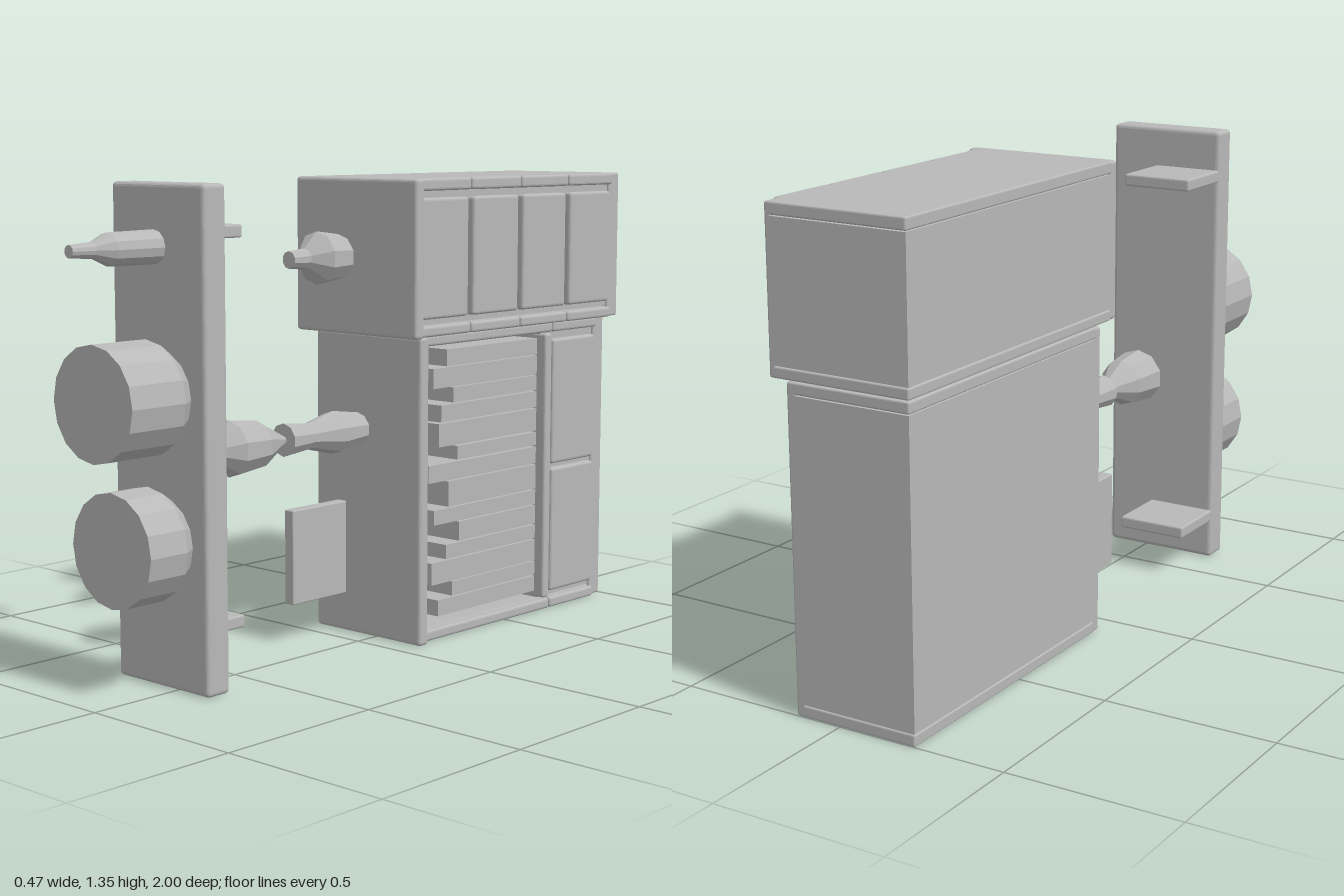
import * as THREE from 'three';
import { RoundedBoxGeometry } from 'three/addons/geometries/RoundedBoxGeometry.js';

export function createModel() {
  const model = new THREE.Group();
  const grey = new THREE.MeshStandardMaterial({ color: 0xb8b8b8 });
  grey.name = 'plain grey';
  grey.flatShading = true;

  const add = (name, geometry) => {
    const mesh = new THREE.Mesh(geometry, grey);
    mesh.name = name;
    model.add(mesh);
    return mesh;
  };
  // Box between two corners, with an optional rounded edge
  const box = (name, x0, x1, y0, y1, z0, z1, r = 0) => {
    const size = [x1 - x0, y1 - y0, z1 - z0];
    const geometry = r ? new RoundedBoxGeometry(...size, 2, r) : new THREE.BoxGeometry(...size);
    add(name, geometry).position.set((x0 + x1) / 2, (y0 + y1) / 2, (z0 + z1) / 2);
  };
  // Turned part pointing forward; profile is [radius, z] from back to front
  const turned = (name, x, y, profile, sides) => {
    const z0 = profile[0][1], z1 = profile[profile.length - 1][1];
    const points = [[0, z0], ...profile, [0, z1]].map(([r, z]) => new THREE.Vector2(r, z));
    const geometry = new THREE.LatheGeometry(points, sides).rotateX(Math.PI / 2);
    add(name, geometry).position.set(x, y, 0);
  };

  const L = -0.235, back = -1, H = 1.353;

  // Detached front panel with its two rear brackets
  box('frontPanel', L, 0.125, 0, H, 0.635, 0.715, 0.012);
  for (const y of [0.12, 1.2]) box('panelBracket', L, -0.02, y, y + 0.036, 0.438, 0.64, 0.006);

  // Round bosses and handle on the front panel
  turned('upperBoss', -0.055, 0.79, [[0.122, 0.71], [0.156, 0.76], [0.156, 0.943]], 16);
  turned('lowerBoss', -0.055, 0.398, [[0.122, 0.71], [0.156, 0.76], [0.156, 0.888]], 16);
  turned('panelHandle', -0.068, 1.185, [[0.046, 0.71], [0.044, 0.875], [0.022, 0.925], [0.017, 1]], 12);

  // Upper cabinet: front plate, core and thin boards above and below
  box('upperFrontPlate', L, 0.233, 0.905, H, -0.025, 0.012, 0.01);
  box('upperBody', L, 0.183, 0.938, 1.317, back, -0.02);
  box('upperBottomBoard', L, 0.183, 0.905, 0.936, back, -0.02, 0.005);
  box('upperTopBoard', L, 0.183, 1.319, H, back, -0.02, 0.005);

  // Four upper drawer bays, each with rails and a raised front
  const bays = [-0.028, -0.26, -0.49, -0.72, -0.945];
  for (let i = 0; i < 4; i++) {
    const z1 = bays[i] - 0.002, z0 = bays[i + 1] + 0.002;
    box('upperTopRail', 0.17, 0.208, 1.318, H, z0, z1, 0.008);
    box('upperBottomRail', 0.17, 0.208, 0.905, 0.936, z0, z1, 0.008);
    box('upperDrawerFront', 0.17, 0.206, 0.955, 1.298, z0 + 0.009, z1 - 0.009, 0.009);
  }
  box('upperRearStile', 0.17, 0.19, 0.905, H, back, -0.947, 0.006);

  // Lower cabinet: front plate, boards, left wall and solid rear bay
  box('lowerFrontPlate', L, 0.178, 0, 0.902, -0.11, -0.072, 0.01);
  box('lowerBottomBoard', L, 0.13, 0, 0.033, back, -0.1, 0.005);
  box('lowerTopBoard', L, 0.13, 0.87, 0.902, back, -0.1, 0.005);
  box('lowerLeftWall', L, -0.2, 0.035, 0.868, -0.7, -0.1);
  box('lowerRearBody', L, 0.13, 0.035, 0.868, back, -0.685);

  // Face frame and drawers of the lower cabinet
  for (const y of [0, 0.87]) {
    box('lowerLongRail', 0.11, 0.155, y, y + 0.032, -0.716, -0.11, 0.008);
    box('lowerShortRail', 0.11, 0.155, y, y + 0.032, -0.945, -0.72, 0.008);
  }
  box('shelfDivider', 0.1, 0.155, 0.036, 0.866, -0.715, -0.683, 0.008);
  box('lowerRearStile', 0.11, 0.138, 0, 0.902, back, -0.947, 0.006);
  for (const y of [0.052, 0.456]) box('lowerDrawerFront', 0.11, 0.153, y, y + 0.39, -0.938, -0.724, 0.009);

  // Stack of uneven slats in the open bay: [bottom, top, front end]
  const slats = [
    [0.055, 0.103, -0.22], [0.107, 0.15, -0.285], [0.153, 0.219, -0.19], [0.223, 0.266, -0.255],
    [0.27, 0.328, -0.315], [0.332, 0.376, -0.2], [0.38, 0.456, -0.265], [0.46, 0.512, -0.175],
    [0.517, 0.558, -0.305], [0.563, 0.632, -0.22], [0.636, 0.686, -0.23], [0.69, 0.735, -0.285],
    [0.738, 0.797, -0.195], [0.8, 0.85, -0.255],
  ];
  for (const [y0, y1, z] of slats) box('slat', -0.2, 0.12, y0, y1, -0.685, z);

  // Fittings on the cabinet front
  turned('upperKnob', -0.068, 1.126, [[0.064, 0.005], [0.076, 0.1], [0.03, 0.15], [0.025, 0.212]], 10);
  turned('lowerSpindle', -0.068, 0.617, [[0.047, -0.08], [0.063, 0.035], [0.038, 0.14], [0.048, 0.237]], 10);
  turned('spindleHead', -0.068, 0.617, [[0.012, 0.237], [0.068, 0.345], [0.08, 0.45], [0.03, 0.52]], 10);
  box('finPlate', -0.15, -0.115, 0.115, 0.395, -0.075, 0.152, 0.004);

  return model;
}
